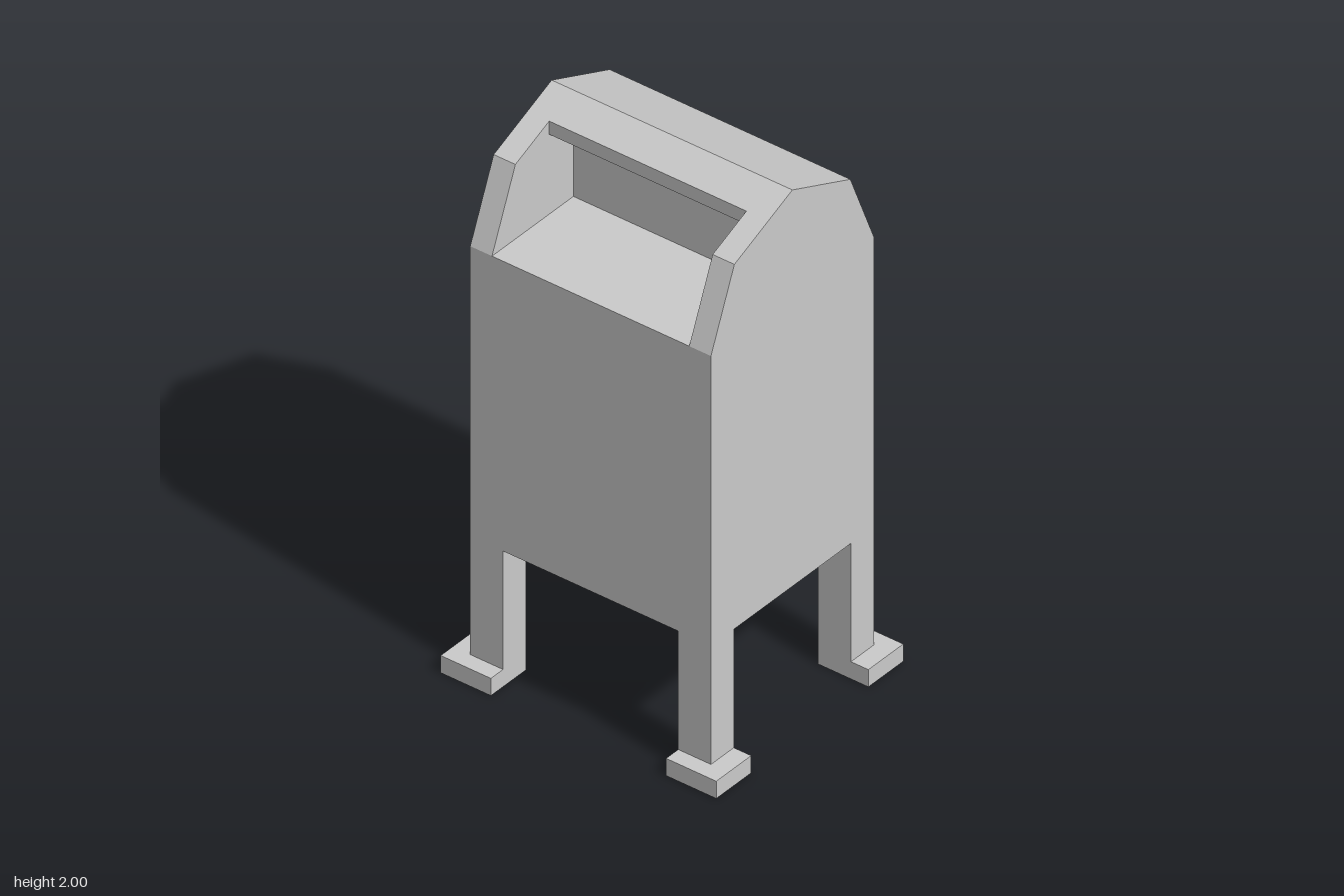
import * as THREE from 'three';

const material = new THREE.MeshStandardMaterial({ color: 0xcccccc, flatShading: true });

// Extrudes a side profile of [z, y] points across the width, from x0 to x1.
function slab(name, points, x0, x1) {
  const shape = new THREE.Shape(points.map(([z, y]) => new THREE.Vector2(z, y)));
  const geometry = new THREE.ExtrudeGeometry(shape, { depth: x1 - x0, bevelEnabled: false });
  geometry.rotateY(-Math.PI / 2).translate(x1, 0, 0);
  const mesh = new THREE.Mesh(geometry, material);
  mesh.name = name;
  return mesh;
}

// Box given by its lower and upper corners.
function box(name, x0, x1, y0, y1, z0, z1) {
  const mesh = new THREE.Mesh(new THREE.BoxGeometry(x1 - x0, y1 - y0, z1 - z0), material);
  mesh.position.set((x0 + x1) / 2, (y0 + y1) / 2, (z0 + z1) / 2);
  mesh.name = name;
  return mesh;
}

export function createModel() {
  const model = new THREE.Group();
  model.name = 'mailbox';

  const halfWidth = 0.47, halfDepth = 0.403, slotHalf = 0.385, floorY = 0.51;
  const base = [[-halfDepth, floorY], [halfDepth, floorY], [halfDepth, 1.6]];
  const roofBack = [[0, 2], [-0.287, 1.88], [-halfDepth, 1.6]];

  // Body: full-profile side walls around a middle with the deposit recess
  const side = [...base, [0.287, 1.88], ...roofBack];
  const recess = [[0, 1.6], [0, 1.81], [0.12, 1.9], [0.12, 1.95]];
  model.add(slab('leftWall', side, slotHalf, halfWidth));
  model.add(slab('rightWall', side, -halfWidth, -slotHalf));
  model.add(slab('bodyWithRecess', [...base, ...recess, ...roofBack], -slotHalf, slotHalf));

  // Corner legs, each on a foot that sticks outwards
  for (const sx of [1, -1]) {
    for (const sz of [1, -1]) {
      const name = (sz > 0 ? 'front' : 'back') + (sx > 0 ? 'Left' : 'Right');
      const span = (s, a, b) => (s > 0 ? [a, b] : [-b, -a]);
      model.add(box(name + 'Leg', ...span(sx, 0.342, halfWidth), 0.065, floorY, ...span(sz, 0.29, halfDepth)));
      model.add(box(name + 'Foot', ...span(sx, 0.342, 0.538), 0, 0.065, ...span(sz, 0.29, 0.463)));
    }
  }
  return model;
}
